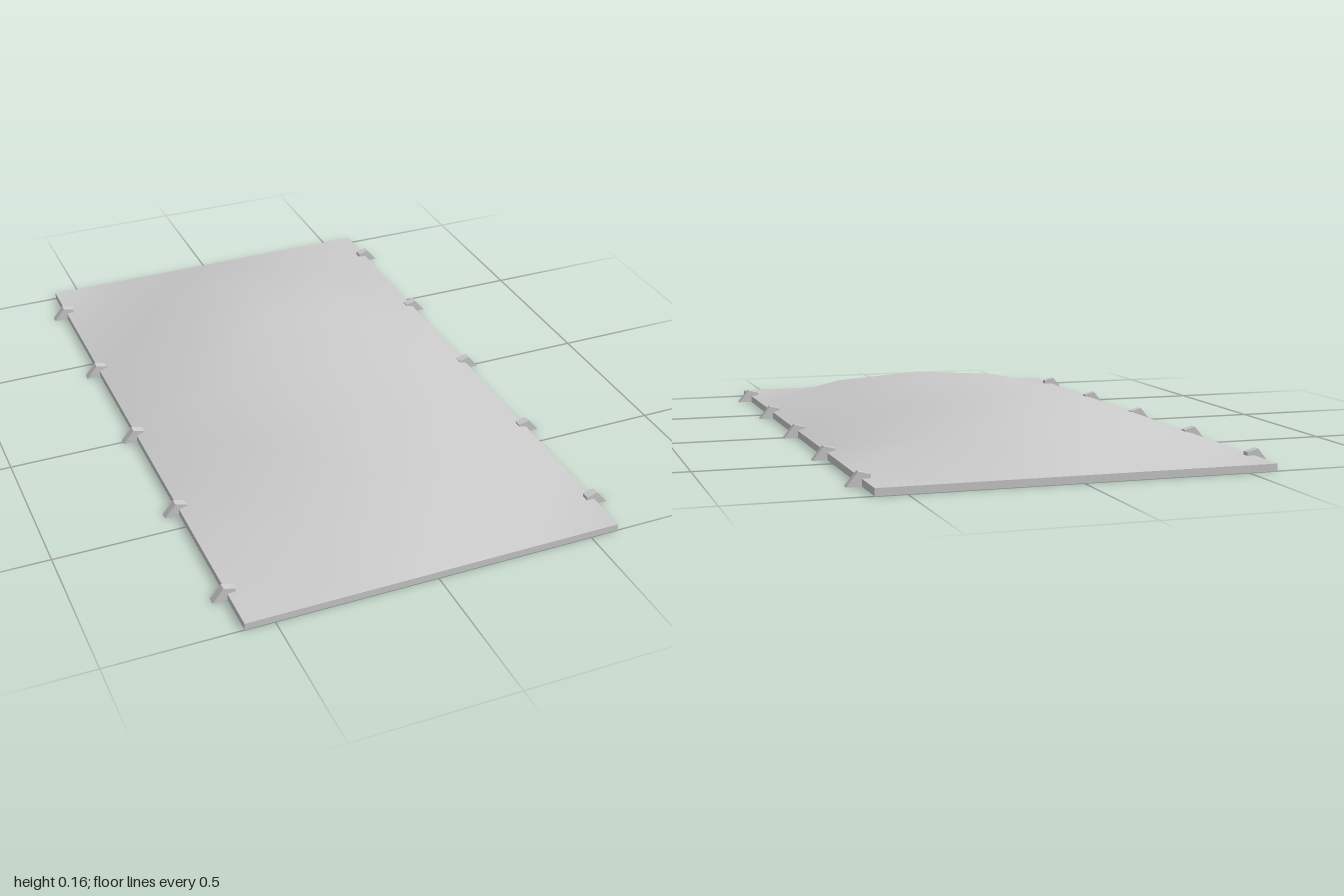
import * as THREE from 'three';

const W = 0.59, L = 1, RIM = 0.022;

// Dome surface: a coarse grid of height rows, shaded smoothly
function domeGeometry() {
  const xs = [-W, -0.295, 0, 0.295, W];
  // z, height at the quarter lines, height at the centre line
  const rows = [
    [-L, RIM, RIM], [-0.67, 0.1, 0.125], [-0.33, 0.125, 0.155], [0, 0.116, 0.146],
    [0.33, 0.104, 0.129], [0.67, 0.09, 0.11], [L, RIM, RIM],
  ];
  const pos = [], index = [];
  for (const [z, side, mid] of rows) {
    const ys = [RIM, side, mid, side, RIM];
    xs.forEach((x, i) => pos.push(x, ys[i], z));
  }
  const n = xs.length;
  for (let j = 0; j < rows.length - 1; j++) {
    for (let i = 0; i < n - 1; i++) {
      const a = j * n + i, b = a + 1, c = a + n, d = c + 1;
      // diagonals run around the dome, so the corners stay flat
      if ((i < 2) === (j < 3)) index.push(a, c, b, b, c, d);
      else index.push(a, c, d, a, d, b);
    }
  }
  const g = new THREE.BufferGeometry();
  g.setAttribute('position', new THREE.Float32BufferAttribute(pos, 3));
  g.setIndex(index);
  g.computeVertexNormals();
  return g;
}

// Flat underside with an eight-sided opening into the dome
function undersideGeometry() {
  const s = new THREE.Shape([[-W, -L], [W, -L], [W, L], [-W, L]].map(p => new THREE.Vector2(...p)));
  const hole = [[0.295, 0.83], [0.44, 0.67], [0.44, -0.67], [0.295, -0.83],
    [-0.295, -0.83], [-0.44, -0.67], [-0.44, 0.67], [-0.295, 0.83]];
  s.holes.push(new THREE.Path(hole.map(p => new THREE.Vector2(...p))));
  return new THREE.ShapeGeometry(s).rotateX(Math.PI / 2);
}

export function createModel() {
  const group = new THREE.Group();
  const mat = new THREE.MeshStandardMaterial({ color: 0xcccccc });
  const sheet = new THREE.MeshStandardMaterial({ color: 0xcccccc, side: THREE.DoubleSide });
  const add = (name, geo, m) => {
    const mesh = new THREE.Mesh(geo, m);
    mesh.name = name;
    group.add(mesh);
    return mesh;
  };

  add('domedPanel', domeGeometry(), sheet);
  add('underside', undersideGeometry(), sheet);

  // Upright rim around the panel
  for (const s of [-1, 1]) {
    const end = add(s > 0 ? 'frontRim' : 'backRim', new THREE.PlaneGeometry(2 * W, RIM), sheet);
    end.position.set(0, RIM / 2, s * L);
    if (s < 0) end.rotation.y = Math.PI;
    const side = add(s > 0 ? 'leftRim' : 'rightRim', new THREE.PlaneGeometry(2 * L, RIM), sheet);
    side.position.set(s * W, RIM / 2, 0);
    side.rotation.y = s * Math.PI / 2;
  }

  // Wedge clips along both long sides
  const profile = new THREE.Shape([[0.565, 0], [0.635, 0], [0.6, 0.042], [0.565, 0.033]]
    .map(p => new THREE.Vector2(...p)));
  const clip = new THREE.ExtrudeGeometry(profile, { depth: 0.024, bevelEnabled: false });
  clip.translate(0, 0, -0.012);
  for (let i = -2; i <= 2; i++) {
    for (const s of [-1, 1]) {
      const c = add(s > 0 ? 'leftClip' : 'rightClip', clip, mat);
      c.position.z = i * 0.425;
      if (s < 0) c.rotation.y = Math.PI;
    }
  }
  return group;
}
